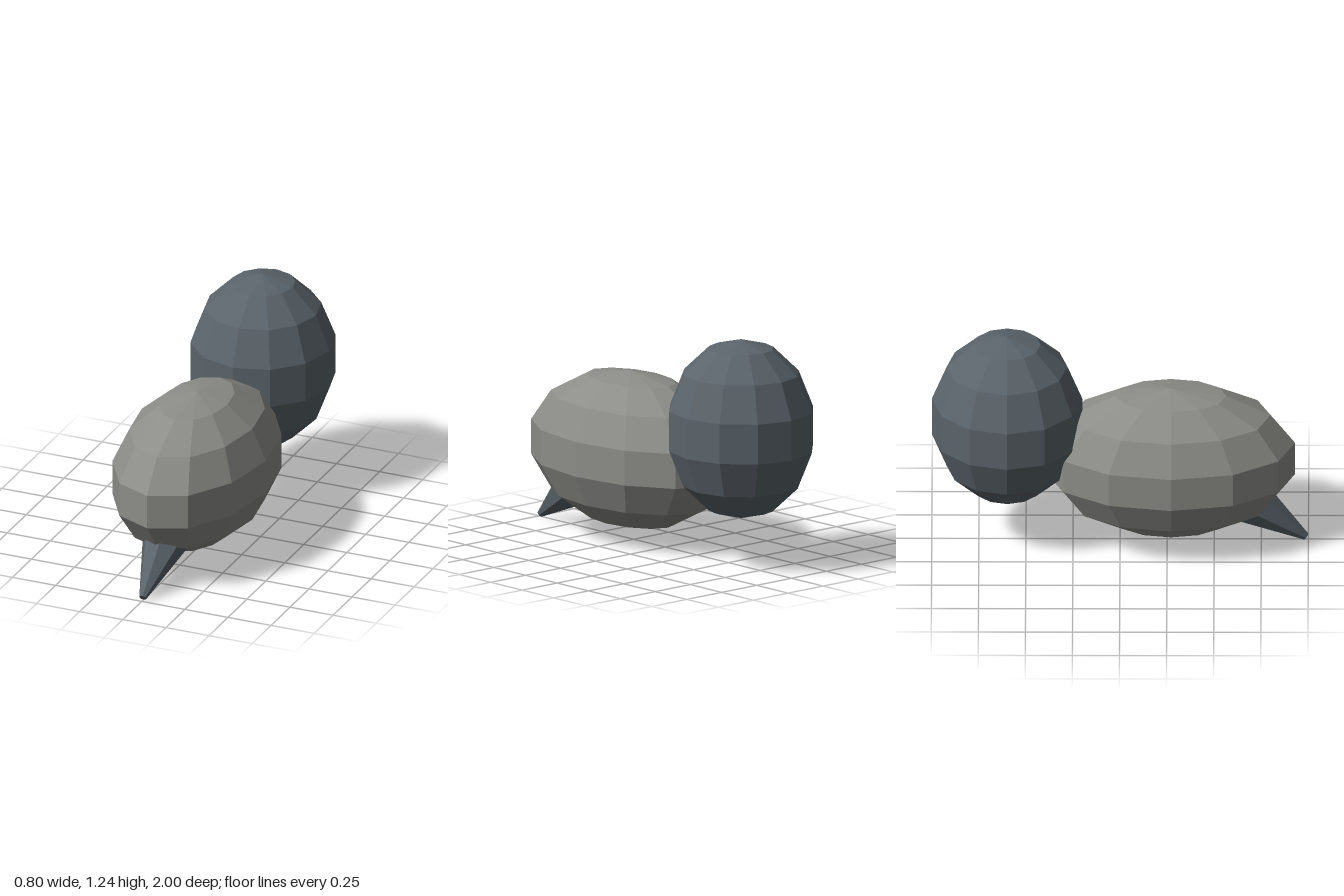
import * as THREE from 'three';

const paint = (color) => new THREE.MeshStandardMaterial({ color, flatShading: true });

// Faceted ellipsoid with 12 sides and 7 rows
function ellipsoid(name, material, radii, position) {
  const mesh = new THREE.Mesh(new THREE.SphereGeometry(1, 12, 7).scale(...radii), material);
  mesh.name = name;
  mesh.position.set(...position);
  return mesh;
}

export function createModel() {
  const model = new THREE.Group();
  model.name = 'bird';
  const grey = paint(0x8c8d88);
  const slate = paint(0x5b646b);

  // Long rounded body and the taller, darker head
  model.add(ellipsoid('body', grey, [0.41, 0.425, 0.677], [0, 0.495, 0.27]));
  model.add(ellipsoid('head', slate, [0.395, 0.4875, 0.41], [0, 0.75, -0.6]));

  // Seven-sided tapering tail: tip at the origin, wide end sunk into the body
  const length = 0.48;
  const tailGeometry = new THREE.CylinderGeometry(0.02, 0.162, length, 7, 1, false, -Math.PI / 2);
  tailGeometry.translate(0, -length / 2, 0);
  const tail = new THREE.Mesh(tailGeometry, slate);
  tail.name = 'tail';
  tail.position.set(0, 0.018, 0.987);
  tail.rotation.x = THREE.MathUtils.degToRad(126.5);
  model.add(tail);

  return model;
}
